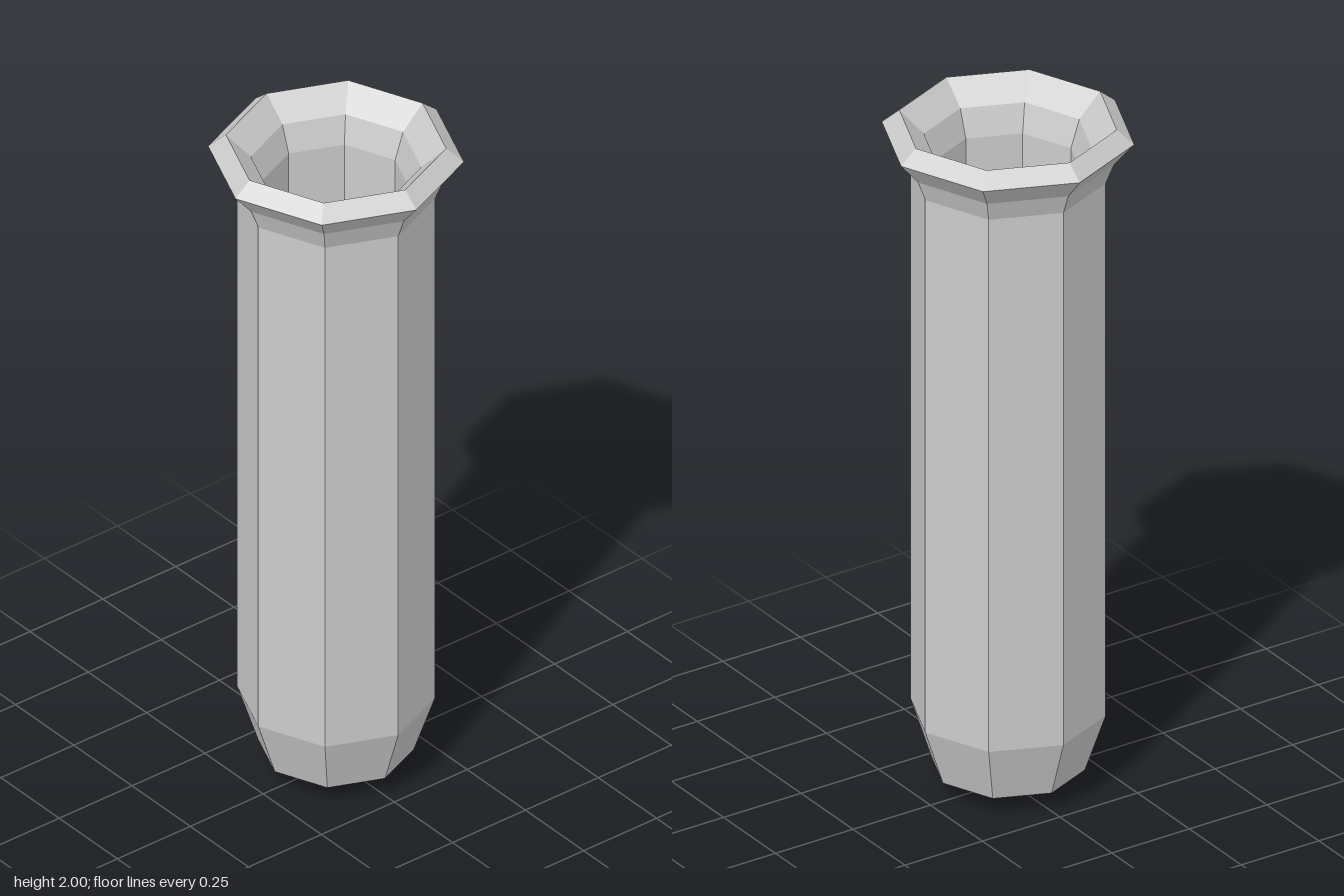
import * as THREE from 'three';

const SIDES = 8;

// Spins [radius, height] pairs into a faceted eight-sided surface
function facetedLathe(name, profile) {
  const points = profile.map(([r, y]) => new THREE.Vector2(r, y));
  const material = new THREE.MeshStandardMaterial({ color: 0xcccccc, flatShading: true });
  const mesh = new THREE.Mesh(new THREE.LatheGeometry(points, SIDES), material);
  mesh.name = name;
  return mesh;
}

export function createModel() {
  const group = new THREE.Group();
  group.name = 'flaredTube';

  // Outer wall with pointed, chamfered base
  group.add(facetedLathe('tubeBody', [
    [0, 0], [0.21, 0.055], [0.267, 0.225], [0.267, 1.835],
  ]));

  // Flared lip: outside flare, bevelled rim, inside funnel
  group.add(facetedLathe('flaredLip', [
    [0.267, 1.835], [0.29, 1.895], [0.345, 1.96], [0.297, 2],
    [0.23, 1.935], [0.203, 1.855],
  ]));

  // Hollow interior with flat floor
  group.add(facetedLathe('innerBore', [
    [0.203, 1.855], [0.203, 0.2], [0, 0.2],
  ]));

  return group;
}
